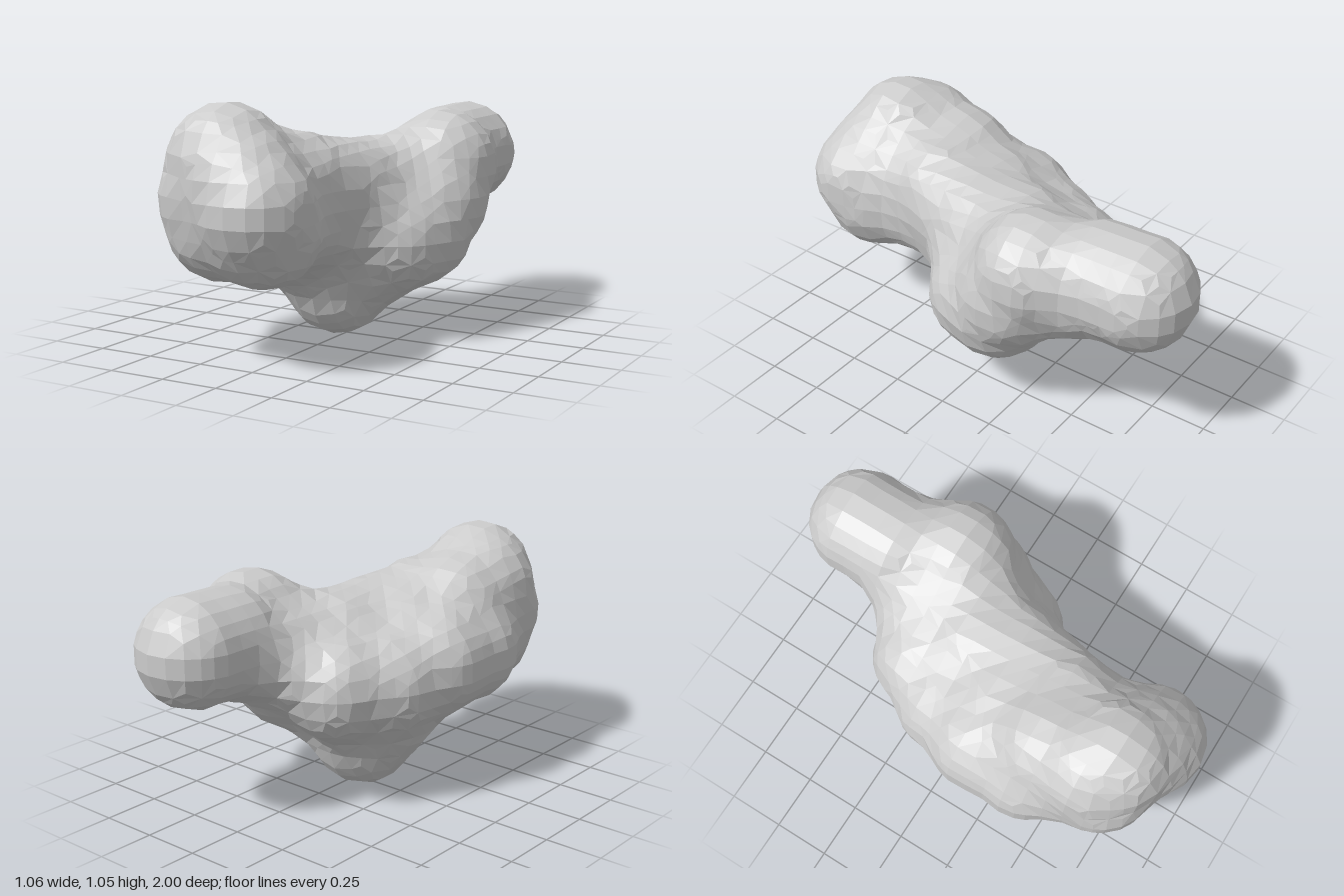
import * as THREE from 'three';

// Balls that form the lumps: [x, y, z, radius]
const balls = [
  // front lobe
  [0.04, 0.65, 0.767, 0.235], [0.03, 0.565, 0.71, 0.235], [-0.15, 0.82, 0.685, 0.239],
  [-0.21, 0.79, 0.62, 0.24], [-0.19, 0.565, 0.65, 0.236], [-0.21, 0.67, 0.67, 0.236],
  [-0.04, 0.73, 0.735, 0.235],
  // neck and outer flank
  [-0.04, 0.57, 0.42, 0.235], [-0.02, 0.70, 0.38, 0.225], [0.02, 0.66, 0.24, 0.23],
  [-0.297, 0.57, 0.38, 0.237], [-0.21, 0.73, 0.42, 0.235], [-0.297, 0.565, 0.16, 0.237],
  [-0.13, 0.63, 0.18, 0.235], [-0.14, 0.51, 0.30, 0.235],
  // middle
  [-0.15, 0.44, 0.08, 0.235], [-0.22, 0.51, -0.06, 0.235], [-0.11, 0.52, -0.25, 0.235],
  [0.05, 0.64, 0.11, 0.235], [0.04, 0.63, -0.08, 0.235], [-0.03, 0.42, -0.07, 0.235],
  // bottom foot and its flares
  [-0.04, 0.222, 0, 0.225], [-0.13, 0.35, 0.02, 0.235], [0.10, 0.36, -0.03, 0.235],
  // side bulge
  [0.23, 0.44, -0.03, 0.235], [0.27, 0.46, -0.14, 0.238], [0.298, 0.58, -0.24, 0.238],
  [0.297, 0.73, -0.33, 0.24], [0.10, 0.64, -0.34, 0.21],
  // tail
  [0.22, 0.68, -0.48, 0.235], [0.20, 0.73, -0.60, 0.236], [0.20, 0.735, -0.767, 0.236],
];

const PROBE = 0.25; // radius of the rolling ball that rounds every hollow
const STEP = 0.084;

function distanceToBalls(x, y, z) {
  let d = Infinity;
  for (const [a, b, c, r] of balls) d = Math.min(d, Math.hypot(x - a, y - b, z - c) - r);
  return d;
}

// Centres the rolling ball can reach: exposed points of the enlarged balls
function probeCentres() {
  const centres = [], count = 2500;
  for (const [a, b, c, r] of balls)
    for (let i = 0; i < count; i++) {
      const h = 1 - (2 * i + 1) / count, t = i * 2.399963;
      const w = Math.sqrt(1 - h * h), s = r + PROBE;
      const p = [a + s * w * Math.cos(t), b + s * h, c + s * w * Math.sin(t)];
      if (distanceToBalls(...p) > PROBE - 1e-6) centres.push(p);
    }
  return centres;
}

// Signed distance to the balls with their hollows filled by the rolling ball
function makeField() {
  const centres = probeCentres();
  return (x, y, z) => {
    const d = distanceToBalls(x, y, z);
    if (d > PROBE) return d;
    let best = Infinity;
    for (const p of centres) {
      const u = x - p[0], v = y - p[1], w = z - p[2];
      best = Math.min(best, u * u + v * v + w * w);
    }
    return PROBE - Math.sqrt(best);
  };
}

// Slide a point along the gradient onto the surface
function project(p, field) {
  const e = 0.004;
  for (let i = 0; i < 3; i++) {
    const g = new THREE.Vector3(
      field(p.x + e, p.y, p.z) - field(p.x - e, p.y, p.z),
      field(p.x, p.y + e, p.z) - field(p.x, p.y - e, p.z),
      field(p.x, p.y, p.z + e) - field(p.x, p.y, p.z - e),
    ).normalize();
    p.addScaledVector(g, -0.8 * field(p.x, p.y, p.z));
  }
  return p;
}

// One vertex per grid cell the surface crosses, one quad per crossed grid edge
function blobGeometry() {
  const field = makeField();
  const origin = [-0.756, -0.189, -1.176];
  const n = [18, 18, 28];
  const at = (i, j, k) => origin.map((o, a) => o + STEP * [i, j, k][a]);
  const id = (i, j, k) => (k * n[1] + j) * n[0] + i;
  const values = [];
  for (let k = 0; k < n[2]; k++)
    for (let j = 0; j < n[1]; j++)
      for (let i = 0; i < n[0]; i++) values[id(i, j, k)] = field(...at(i, j, k));

  const positions = [], indices = [], cellVertex = new Map();
  const axes = [[1, 0, 0], [0, 1, 0], [0, 0, 1]];

  const vertexOf = (i, j, k) => {
    const key = id(i, j, k);
    if (cellVertex.has(key)) return cellVertex.get(key);
    const sum = new THREE.Vector3();
    let count = 0;
    for (let c = 0; c < 8; c++) {
      const p = [i + (c & 1), j + ((c >> 1) & 1), k + (c >> 2)];
      for (let a = 0; a < 3; a++) {
        if (c & (1 << a)) continue;
        const q = p.map((v, m) => v + axes[a][m]);
        const v0 = values[id(...p)], v1 = values[id(...q)];
        if ((v0 < 0) === (v1 < 0)) continue;
        const s = new THREE.Vector3(...at(...p));
        sum.add(s.lerp(new THREE.Vector3(...at(...q)), v0 / (v0 - v1)));
        count++;
      }
    }
    const v = project(sum.divideScalar(count), field);
    positions.push(v.x, v.y, v.z);
    cellVertex.set(key, positions.length / 3 - 1);
    return positions.length / 3 - 1;
  };

  for (let k = 1; k < n[2] - 1; k++)
    for (let j = 1; j < n[1] - 1; j++)
      for (let i = 1; i < n[0] - 1; i++)
        for (let a = 0; a < 3; a++) {
          const p = [i, j, k];
          const q = p.map((v, m) => v + axes[a][m]);
          const inside = values[id(...p)] < 0;
          if (inside === (values[id(...q)] < 0)) continue;
          const u = axes[(a + 1) % 3], w = axes[(a + 2) % 3];
          const cell = (s, t) => vertexOf(...p.map((v, m) => v - s * u[m] - t * w[m]));
          const quad = [cell(1, 1), cell(0, 1), cell(0, 0), cell(1, 0)];
          if (!inside) quad.reverse();
          indices.push(quad[0], quad[1], quad[2], quad[0], quad[2], quad[3]);
        }

  const geometry = new THREE.BufferGeometry();
  geometry.setAttribute('position', new THREE.Float32BufferAttribute(positions, 3));
  geometry.setIndex(indices);
  geometry.computeVertexNormals();
  return geometry;
}

export function createModel() {
  const group = new THREE.Group();
  group.name = 'lumpyBlob';
  const material = new THREE.MeshStandardMaterial({ color: 0xcccccc, flatShading: true });
  const body = new THREE.Mesh(blobGeometry(), material);
  body.name = 'body';
  group.add(body);
  return group;
}
